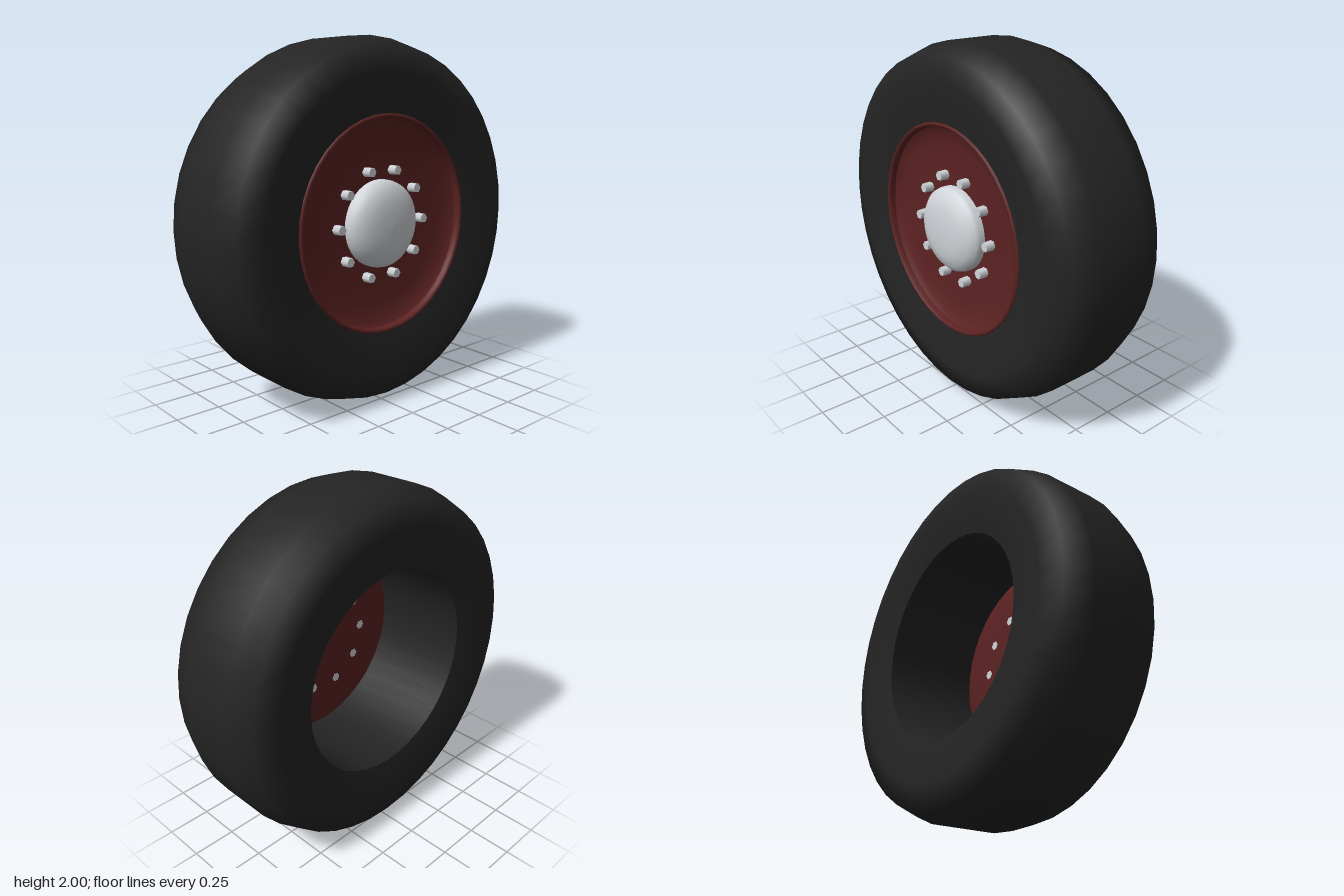
import * as THREE from 'three';

const SEGMENTS = 40;

export function createModel() {
  const material = (name, color, side = THREE.FrontSide) => {
    const m = new THREE.MeshStandardMaterial({ color, side });
    m.name = name;
    return m;
  };
  const rubber = material('black rubber', 0x242424, THREE.DoubleSide);
  const redPaint = material('dark red paint', 0x5c2222, THREE.DoubleSide);
  const metal = material('pale metal', 0xd0d4d8);

  // Everything is turned about local y, which becomes the x axle
  const wheel = new THREE.Group();
  wheel.name = 'wheel';
  wheel.rotation.z = -Math.PI / 2;
  wheel.position.y = 1;

  // Profiles are lists of [radius, position along the axle]
  const turned = (name, profile, mat) => {
    const points = profile.map(([r, x]) => new THREE.Vector2(r, x));
    const mesh = new THREE.Mesh(new THREE.LatheGeometry(points, SEGMENTS), mat);
    mesh.name = name;
    wheel.add(mesh);
    return mesh;
  };

  // Tyre: mirrored half profile from the tread to the bead
  const half = [[1, 0.15], [0.95, 0.298], [0.82, 0.334], [0.585, 0.295]];
  const mirrored = half.map(([r, x]) => [r, -x]).reverse();
  turned('tyre', [...mirrored, ...half], rubber).position.y = -0.003;
  turned('tyreInside', [[0.585, 0.292], [0.585, -0.298]], rubber);

  // Rim: rounded lip and shallow dish
  turned('rimLip', [[0.595, 0.293], [0.59, 0.303], [0.578, 0.303], [0.572, 0.29], [0.57, 0.265]], redPaint);
  turned('rimDish', [[0.57, 0.265], [0.53, 0.24], [0.45, 0.229], [0.3, 0.222], [0, 0.22]], redPaint);

  // Domed hub cap
  turned('hubCap', [
    [0.24, 0.22], [0.24, 0.25], [0.234, 0.275], [0.2, 0.308],
    [0.14, 0.329], [0.07, 0.336], [0, 0.338],
  ], metal);

  // Ring of wheel nuts
  const nutGeometry = new THREE.CylinderGeometry(0.026, 0.028, 0.055, 6);
  for (let i = 0; i < 10; i++) {
    const a = (i / 10) * Math.PI * 2;
    const nut = new THREE.Mesh(nutGeometry, metal);
    nut.name = 'wheelNut';
    nut.position.set(0.3 * Math.sin(a), 0.248, 0.3 * Math.cos(a));
    wheel.add(nut);
  }

  const model = new THREE.Group();
  model.name = 'truckWheel';
  model.add(wheel);
  return model;
}
